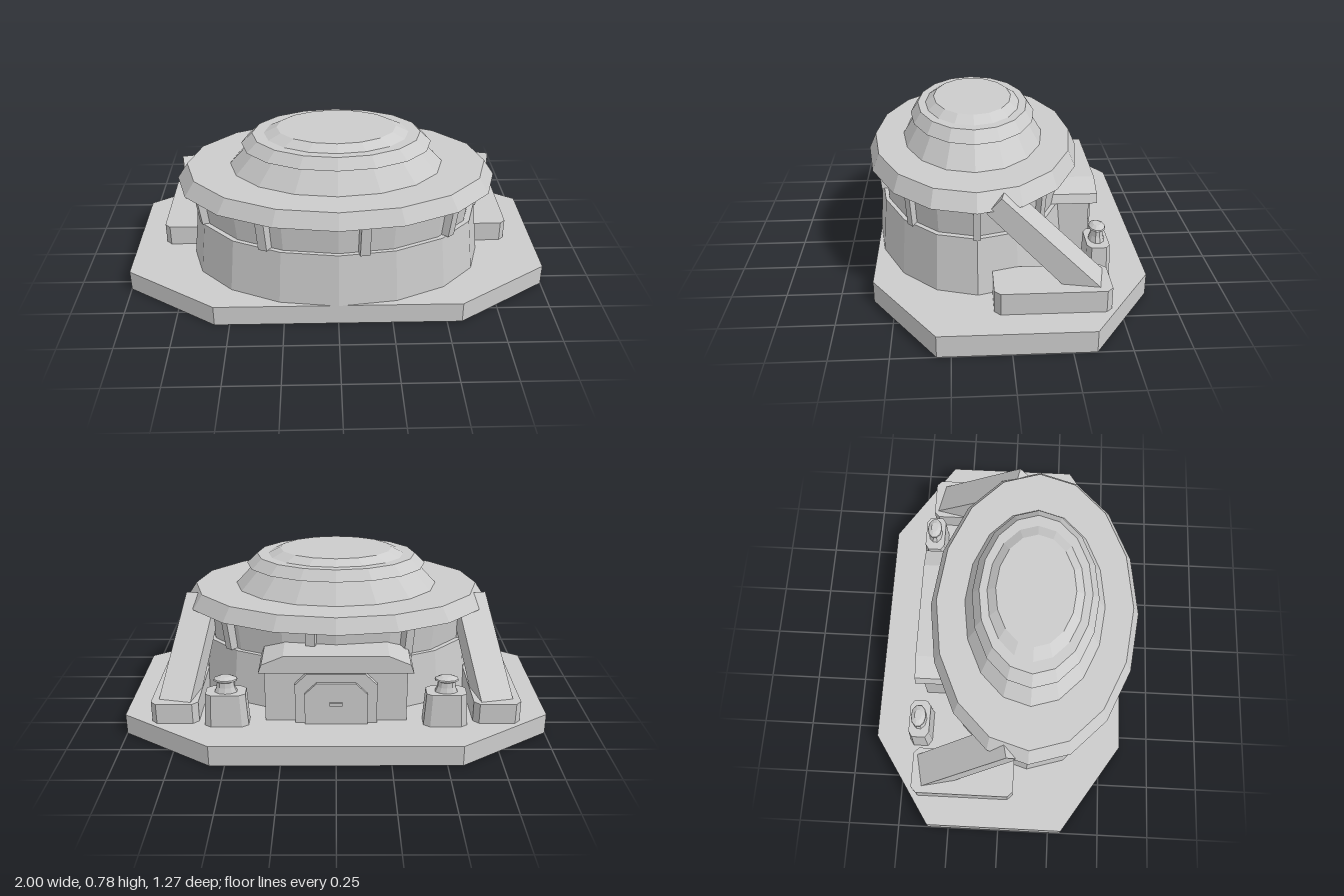
import * as THREE from 'three';

const STRETCH = 1.495; // the building is a round plan stretched along x
const CENTRE_Z = 0.131;

export function createModel() {
  const model = new THREE.Group();
  model.name = 'domedBunker';
  // Double sided because the base is an open shell
  const concrete = new THREE.MeshStandardMaterial({
    color: 0xcccccc, flatShading: true, side: THREE.DoubleSide,
  });
  concrete.name = 'concreteGrey';

  const add = (name, geometry) => {
    const mesh = new THREE.Mesh(geometry, concrete);
    mesh.name = name;
    model.add(mesh);
    return mesh;
  };
  const shapeOf = (points) => new THREE.Shape(points.map(([a, b]) => new THREE.Vector2(a, b)));
  const extrude = (points, depth) =>
    new THREE.ExtrudeGeometry(shapeOf(points), { depth, bevelEnabled: false });

  // Rectangle outline with cut corners
  const cutRect = (w, h, cx, cy) => [
    [-w + cx, -h], [w - cx, -h], [w, -h + cy], [w, h - cy],
    [w - cx, h], [-w + cx, h], [-w, h - cy], [-w, -h + cy],
  ];
  // Upright prism from a plan outline given as [x, z]
  const prism = (plan, y, height) =>
    extrude(plan.map(([x, z]) => [x, -z]), height).rotateX(-Math.PI / 2).translate(0, y, 0);
  // Faceted oval from a profile of [radius, y], listed from bottom to top
  const oval = (profile, sides) => {
    const g = new THREE.LatheGeometry(profile.map(([r, y]) => new THREE.Vector2(r, y)), sides)
      .toNonIndexed();
    g.scale(STRETCH, 1, 1);
    g.computeVertexNormals();
    return g;
  };

  // Base slab: a top sheet and a skirt, open underneath
  const basePlan = [
    [-0.57, -0.637], [-1, -0.35], [-1, 0.31], [-0.57, 0.597],
    [0.57, 0.597], [1, 0.31], [1, -0.35], [0.57, -0.637],
  ];
  const baseTop = new THREE.ShapeGeometry(shapeOf(basePlan.map(([x, z]) => [x, -z])));
  add('baseTop', baseTop.rotateX(-Math.PI / 2)).position.y = 0.1;
  const skirt = [];
  basePlan.forEach(([ax, az], i) => {
    const [bx, bz] = basePlan[(i + 1) % basePlan.length];
    skirt.push(ax, 0, az, bx, 0, bz, bx, 0.1, bz, ax, 0, az, bx, 0.1, bz, ax, 0.1, az);
  });
  const baseSkirt = new THREE.BufferGeometry();
  baseSkirt.setAttribute('position', new THREE.Float32BufferAttribute(skirt, 3));
  baseSkirt.computeVertexNormals();
  add('baseSkirt', baseSkirt);

  // Wall with a recessed upper band, and stepped roof
  add('wall', oval([[0.47, 0.1], [0.45, 0.36], [0.432, 0.36], [0.445, 0.53]], 16))
    .position.z = CENTRE_Z;
  add('roof', oval([
    [0, 0.52], [0.504, 0.52], [0.471, 0.594], [0.335, 0.594],
    [0.27, 0.7], [0.297, 0.7], [0.262, 0.75], [0.225, 0.75], [0.185, 0.779], [0, 0.779],
  ], 16)).position.z = CENTRE_Z;

  // Nine posts around the recessed band
  for (let i = 0; i < 9; i++) {
    const g = new THREE.BoxGeometry(0.03, 0.17, 0.036);
    g.rotateX(0.09).translate(0, 0.442, 0.443);
    g.rotateY(THREE.MathUtils.degToRad(10 + i * 40));
    g.scale(STRETCH, 1, 1);
    add('wallPost', g).position.z = CENTRE_Z;
  }

  // Rear entrance: porch, canopy, door frame, door and handle
  add('porch', new THREE.BoxGeometry(0.66, 0.265, 0.4)).position.set(0, 0.2325, -0.2);
  add('canopy', extrude([
    [-0.355, 0.36], [0.355, 0.36], [0.34, 0.402],
    [0.24, 0.445], [-0.24, 0.445], [-0.34, 0.402],
  ], 0.435)).position.z = -0.435;
  const arch = (w, top, cut) => [
    [-w, 0.1], [w, 0.1], [w, top - cut], [w - cut, top], [-w + cut, top], [-w, top - cut],
  ];
  add('doorFrame', extrude(arch(0.19, 0.35, 0.055), 0.03)).position.z = -0.425;
  add('door', extrude(arch(0.145, 0.31, 0.055), 0.03)).position.z = -0.44;
  add('doorHandle', new THREE.BoxGeometry(0.06, 0.016, 0.01)).position.set(0, 0.205, -0.442);

  for (const s of [-1, 1]) {
    // Tapered pedestal with a turned vent
    const pedestal = prism(cutRect(0.102, 0.056, 0.03, 0.02), 0.1, 0.16);
    const p = pedestal.attributes.position;
    for (let i = 0; i < p.count; i++) {
      const k = p.getY(i) > 0.2 ? 0.9 : 1;
      p.setXYZ(i, p.getX(i) * k, p.getY(i), p.getZ(i) * k);
    }
    pedestal.computeVertexNormals();
    add('ventPedestal', pedestal).position.set(s * 0.507, 0, -0.41);
    add('vent', oval([
      [0.036, 0.26], [0.029, 0.285], [0.027, 0.31], [0.038, 0.318],
      [0.036, 0.325], [0.018, 0.337], [0, 0.337],
    ], 10)).position.set(s * 0.507, 0, -0.41);

    // Buttress foot
    add('buttressFoot', prism(cutRect(0.11, 0.25, 0.026, 0.026), 0.1, 0.1))
      .position.set(s * 0.75, 0, -0.183);

    // Leaning buttress: side outline [run, y] with a square-cut top, turned inward
    const strut = extrude([
      [0.01, 0.19], [0.152, 0.19], [0.484, 0.507], [0.42, 0.58], [0, 0.2],
    ].map(([run, y]) => [-run, y]), 0.155).rotateY(Math.PI / 2);
    strut.translate(-0.0775, 0, 0).rotateY(-s * 0.21);
    add('buttress', strut).position.set(s * 0.751, 0, -0.397);
  }

  return model;
}
